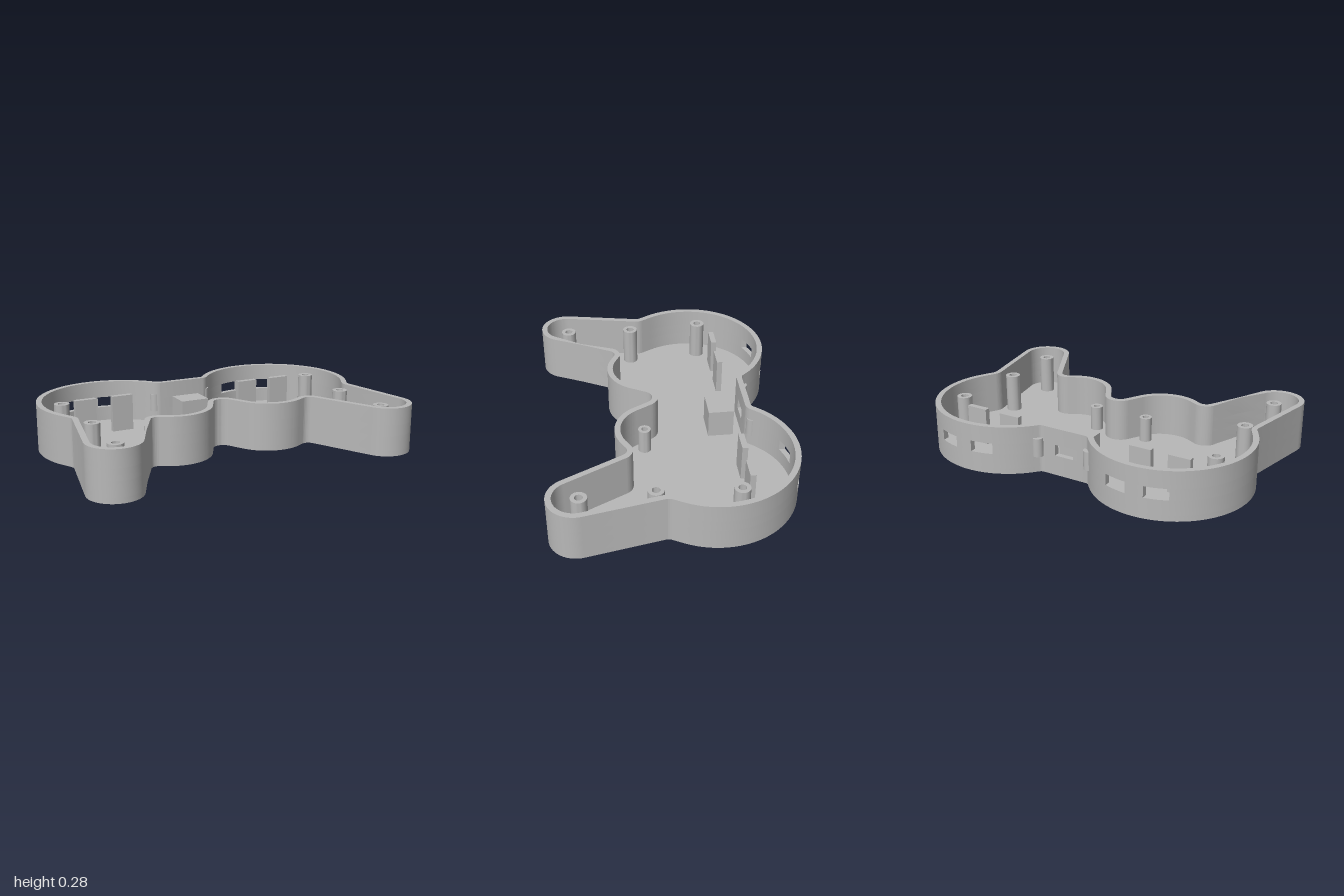
import * as THREE from 'three';
import { toCreasedNormals } from 'three/addons/utils/BufferGeometryUtils.js';

const HEIGHT = 0.285, WALL = 0.033, FLOOR = 0.033;
const SLOT_LOW = 0.12, SLOT_HIGH = 0.185;

// Outline as a belt around circles: [x, -z, radius, turn], turn 1 bulges out, -1 curves in
const arch = [0, -0.115, 0.058, -1];
const half = [
  [0.31, -0.06, 0.24, 1],      // front lobe
  [0.485, -0.29, 0.045, -1],   // crook of the grip
  [0.838, -0.54, 0.155, 1],    // grip end
  [0.955, -0.07, 0.05, -1],    // waist
  [0.535, 0.235, 0.465, 1],    // big round lobe
  [0.14, 0.535, 0.03, -1],     // corner of the back bridge
];
const mirrored = half.map(([x, y, r, s]) => [-x, y, r, s]).reverse();
const belt = [arch, ...half, ...mirrored];

// Direction of the tangent running from circle a to circle b
function tangent(a, b) {
  const dx = b[0] - a[0], dy = b[1] - a[1];
  return Math.atan2(dy, dx) + Math.asin((a[3] * a[2] - b[3] * b[2]) / Math.hypot(dx, dy));
}

// Outline points, moved inwards by inset
function outline(inset) {
  const shape = new THREE.Shape(), n = belt.length;
  belt.forEach((c, i) => {
    const [x, y, r, s] = c;
    const from = tangent(belt[(i + n - 1) % n], c) - s * Math.PI / 2;
    const to = tangent(c, belt[(i + 1) % n]) - s * Math.PI / 2;
    // the inner wall pinches close to the outer one on one grip
    if (i === n - 2) shape.lineTo(inset ? -0.632 : -0.625, inset ? -0.45 : -0.455);
    shape.absarc(x, y, r - s * inset, from, to, s < 0);
  });
  return shape.getPoints(20);
}

// Part of an outline, counter-clockwise between two x positions on the back wall
function span(pts, xa, xb) {
  const n = pts.length;
  const cross = (x) => {
    for (let i = 0; i < n; i++) {
      const p = pts[i], q = pts[(i + 1) % n];
      if (p.y > 0.4 && q.y > 0.4 && p.x >= x && q.x < x) {
        return { i, point: p.clone().lerp(q, (x - p.x) / (q.x - p.x)) };
      }
    }
  };
  const a = cross(xa), b = cross(xb), out = [a.point];
  for (let i = a.i; i !== b.i;) {
    i = (i + 1) % n;
    out.push(pts[i]);
  }
  out.push(b.point);
  return out;
}

export function createModel() {
  const model = new THREE.Group();
  const grey = new THREE.MeshStandardMaterial({ color: 0xb8b8b8 });
  grey.name = 'grey plastic';

  function add(name, geometry, x = 0, y = 0, z = 0) {
    const mesh = new THREE.Mesh(geometry, grey);
    mesh.name = name;
    mesh.position.set(x, y, z);
    model.add(mesh);
  }
  function slab(name, shape, low, high) {
    const g = new THREE.ExtrudeGeometry(shape, { depth: high - low, bevelEnabled: false });
    g.rotateX(-Math.PI / 2);
    add(name, toCreasedNormals(g, 0.5), 0, low, 0);
  }

  const outer = outline(0), inner = outline(WALL);

  // Floor and the solid wall below and above the slots
  slab('floor', new THREE.Shape(outer), 0, FLOOR);
  const ring = new THREE.Shape(outer);
  ring.holes.push(new THREE.Path(inner));
  slab('lowerWall', ring, FLOOR, SLOT_LOW);
  slab('upperWall', ring, SLOT_HIGH, HEIGHT);

  // Wall band interrupted by five slots at the back
  const slots = [[0.735, 0.605], [0.5, 0.37], [0.06, -0.06], [-0.37, -0.5], [-0.605, -0.735]];
  slots.forEach((slot, i) => {
    const from = slot[1], to = slots[(i + 1) % slots.length][0];
    const piece = [...span(outer, from, to), ...span(inner, from, to).reverse()];
    slab('slotWall', new THREE.Shape(piece), SLOT_LOW, SLOT_HIGH);
  });

  // Hollow screw posts: x, z, radius, top
  const posts = [
    [0.838, -0.33, 0.045, 0.265],
    [0.808, 0.12, 0.045, 0.265],
    [0.822, 0.522, 0.045, 0.265],
    [0.172, 0.12, 0.037, 0.18],
  ];
  for (const side of [1, -1]) {
    for (const [x, z, r, top] of posts) {
      const profile = [[r, 0], [r, top - FLOOR], [r / 2, top - FLOOR], [r / 2, 0]]
        .map(([px, py]) => new THREE.Vector2(px, py));
      const g = toCreasedNormals(new THREE.LatheGeometry(profile, 32), 0.5);
      add('screwPost', g, side * x, FLOOR, z);
    }
    // Upright plates in front of the slots
    for (const x of [0.67, 0.435]) {
      add('uprightPlate', new THREE.BoxGeometry(0.132, 0.22, 0.033), side * x, FLOOR + 0.11, -0.408);
    }
    // Small pegs on the back wall
    add('backPeg', new THREE.CylinderGeometry(0.033, 0.033, 0.11, 24), side * 0.17, 0.155, -0.512);
  }

  // Block behind the middle slot
  add('centreBlock', new THREE.BoxGeometry(0.178, 0.17, 0.15), 0, FLOOR + 0.085, -0.345);

  return model;
}
